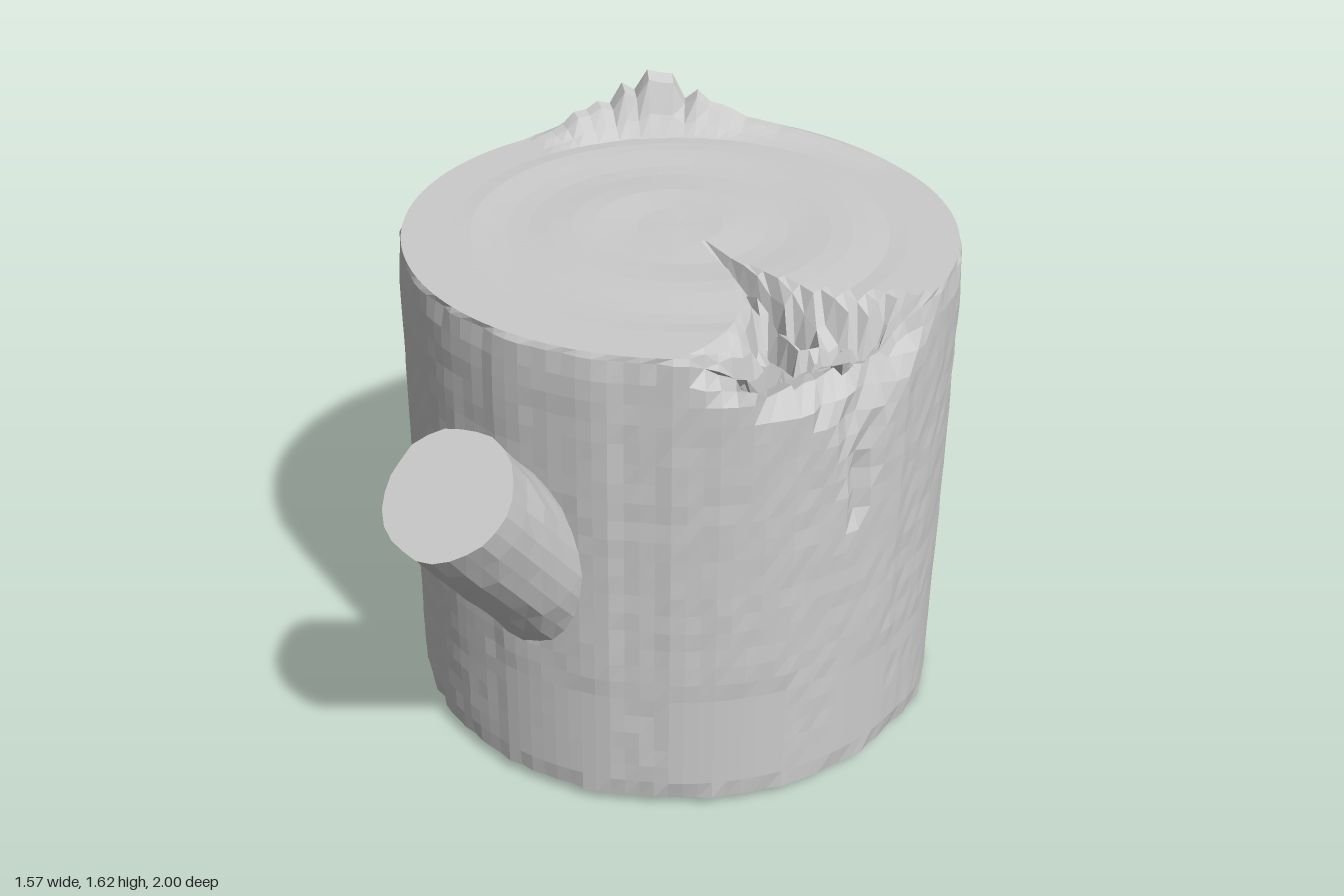
import * as THREE from 'three';

const N = 120, R = 0.782, BASE = 0.035, TOP = 1.44;
const { smoothstep, lerp, clamp } = THREE.MathUtils;
const wood = new THREE.MeshStandardMaterial({ color: 0xcccccc, flatShading: true, side: THREE.DoubleSide });

// repeatable jitter in -1..1 for a grid cell
function jitter(i, j) {
  const s = Math.sin(i * 127.1 + j * 311.7) * 43758.5453;
  return (s - Math.floor(s)) * 2 - 1;
}
// 1 at the centre angle, falling to 0 at the half width (degrees)
function bump(deg, centre, half) {
  const d = Math.abs(((deg - centre + 540) % 360) - 180);
  return clamp(1 - d / half, 0, 1);
}

// Rows run from the middle of the underside, up the bark, to the middle of the cut
function trunkRows() {
  const rows = [];
  for (const r of [0, 0.3, 0.5, 0.62, 0.7, 0.75]) rows.push({ r, y: BASE, zone: 'under' });
  for (let i = 0; i <= 24; i++) rows.push({ r: R, y: lerp(BASE, TOP - 0.015, i / 24), zone: 'bark' });
  for (const r of [0.77, 0.745, 0.71, 0.67, 0.63, 0.58, 0.53, 0.48, 0.42, 0.36, 0.3, 0.24, 0.12, 0])
    rows.push({ r, y: TOP, zone: 'cut' });
  return rows;
}

function trunkPoint(row, i, j) {
  const deg = (j / N) * 360;
  let { r, y } = row;
  const n = jitter(i, j);

  if (row.zone === 'bark') {
    // faceted bark with upright grain and a worn rim and foot
    r += 0.005 * jitter(Math.floor(j / 3), 7) + 0.002 * n;
    const nearEnd = Math.max(smoothstep(y, 1.34, TOP), 1 - smoothstep(y, BASE, 0.1));
    r -= 0.008 * nearEnd * (1 + n);
    // broken side: wide at the rim, narrowing to a crack
    const half = y > 1.2 ? lerp(7, 27, smoothstep(y, 1.2, 1.4)) : lerp(1, 7, clamp((y - 0.85) / 0.35, 0, 1));
    const mid = lerp(21, 29, smoothstep(y, 1.2, 1.42));
    if (y > 0.85) r -= (0.03 + 0.09 * smoothstep(y, 1.15, 1.42)) * Math.sqrt(bump(deg, mid, half)) * (1 + 0.5 * n);
  }

  // splintered notch in the cut face
  const cutHalf = r < 0.5 ? lerp(2, 9, (r - 0.2) / 0.3) : lerp(9, 28, (r - 0.5) / 0.28);
  if (row.zone === 'cut' && r > 0.2) {
    const k = bump(deg, 29, cutHalf);
    if (k > 0) y -= Math.min(1, k * 2) * (0.03 + 0.14 * smoothstep(r, 0.25, 0.7)) * (1 + 0.55 * n);
    if (k > 0 && r > 0.66) r -= 0.1 * Math.sqrt(k) * smoothstep(r, 0.66, 0.77);
  }
  if (row.zone === 'bark' && y > 1.3) {
    const k = bump(deg, 29, 28);
    y -= Math.min(1, k * 2) * 0.13 * smoothstep(y, 1.3, 1.43) * (1 + 0.3 * n);
  }

  // torn splinters standing on the back edge
  if (row.zone === 'cut' && r > 0.6) {
    const crest = smoothstep(r, 0.63, 0.73) * (1 - 0.5 * smoothstep(r, 0.745, 0.78));
    const tall = 0.15 * Math.pow(bump(deg, 231, 24), 0.8) * (0.72 + 0.35 * jitter(j, 3));
    const low = 0.05 * Math.sqrt(bump(deg, 232, 30)) + 0.03 * bump(deg, 265, 30);
    y += crest * (tall + low * 0.8);
    r += 0.008 * n * bump(deg, 231, 30);
  }
  // faint growth rings
  if (row.zone === 'cut' && r < 0.6) y += 0.004 * Math.sin(r * 18 + (deg * Math.PI) / 180);

  // hollow at the foot
  if (y < 0.39) {
    const hole = Math.sqrt(bump(deg, 153, 9)) * lerp(0.13, 0.05, clamp(y / 0.38, 0, 1));
    r = Math.min(r, R - hole);
  }
  // sagging root at the foot
  if (y < 0.1 && r > 0.5) y -= 0.037 * smoothstep(bump(deg, 335, 32), 0, 0.7) * smoothstep(r, 0.5, 0.75);

  const a = (j / N) * Math.PI * 2;
  return [r * Math.cos(a), Math.max(y, 0), r * Math.sin(a)];
}

function trunkGeometry() {
  const rows = trunkRows(), pos = [], index = [];
  rows.forEach((row, i) => {
    for (let j = 0; j < N; j++) pos.push(...trunkPoint(row, i, j));
  });
  for (let i = 0; i < rows.length - 1; i++) {
    for (let j = 0; j < N; j++) {
      const a = i * N + j, b = i * N + ((j + 1) % N), c = a + N, d = b + N;
      if (rows[i + 1].r > 0) index.push(b, c, d);
      if (rows[i].r > 0) index.push(a, c, b);
    }
  }
  // rows that shrink to a point keep only one triangle per cell
  const g = new THREE.BufferGeometry();
  g.setAttribute('position', new THREE.Float32BufferAttribute(pos, 3));
  g.setIndex(index);
  g.computeVertexNormals();
  return g;
}

// sawn-off limb, slightly lumpy towards the trunk
function branchGeometry() {
  const len = 0.75;
  const g = new THREE.CylinderGeometry(0.178, 0.186, len, 24, 8);
  const p = g.attributes.position;
  for (let k = 0; k < p.count; k++) {
    const x = p.getX(k), y = p.getY(k), z = p.getZ(k);
    const s = 1 + 0.025 * jitter(Math.round(x * 90), Math.round(y * 40) + Math.round(z * 90));
    p.setXYZ(k, x * s, y, z * s);
  }
  g.translate(0, -len / 2, 0);
  g.computeVertexNormals();
  return g;
}

export function createModel() {
  const group = new THREE.Group();
  group.name = 'treeStump';

  const trunk = new THREE.Mesh(trunkGeometry(), wood);
  trunk.name = 'trunk';
  trunk.position.z = -0.215;

  const branch = new THREE.Mesh(branchGeometry(), wood);
  branch.name = 'branchStub';
  branch.position.set(-0.01, 1.135, 0.865);
  branch.rotation.x = 0.707;

  group.add(trunk, branch);
  return group;
}
